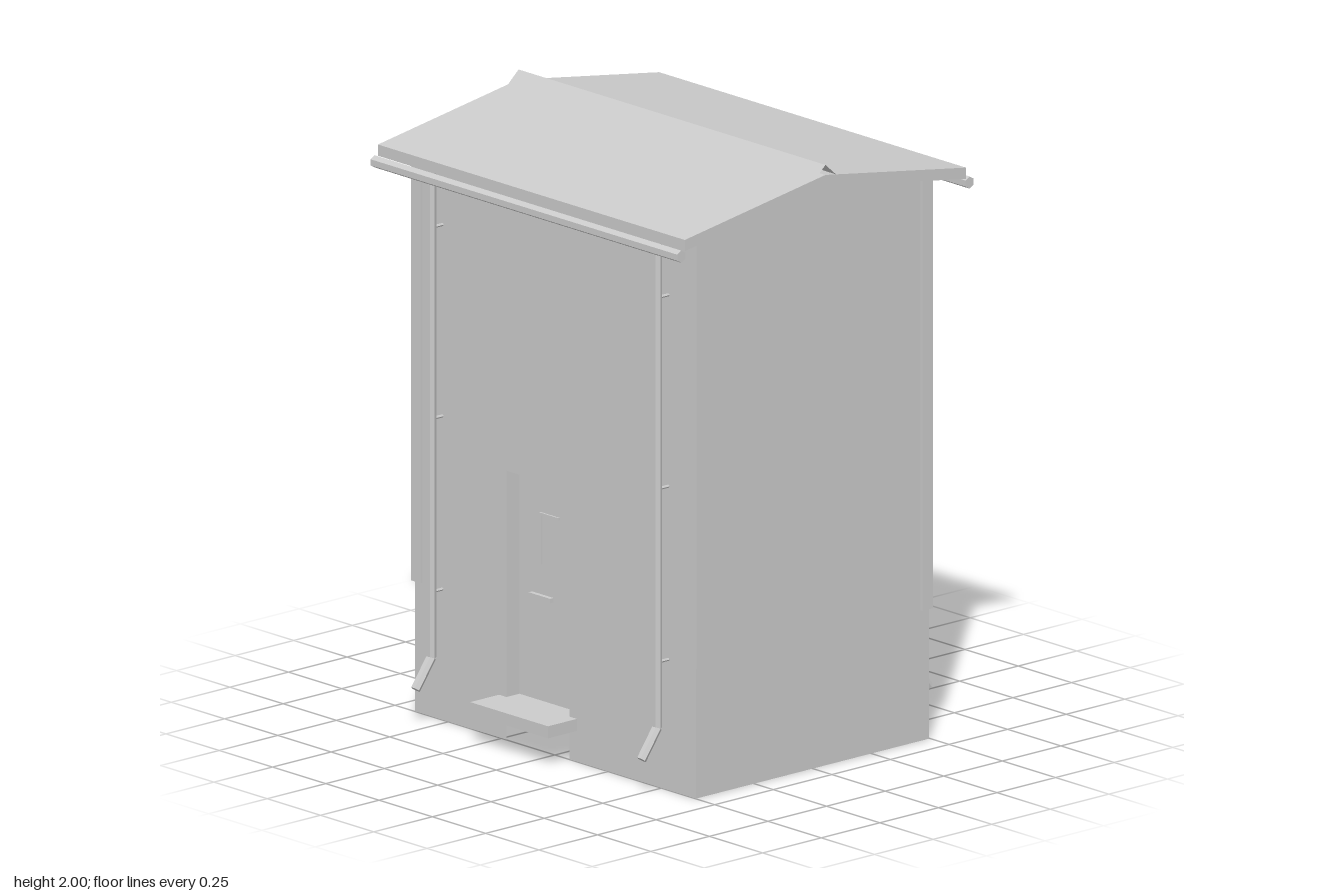
import * as THREE from 'three';

const mat = new THREE.MeshStandardMaterial({ color: 0xcccccc, flatShading: true, side: THREE.DoubleSide });

function add(parent, name, geometry) {
  const mesh = new THREE.Mesh(geometry, mat);
  mesh.name = name;
  parent.add(mesh);
  return mesh;
}

// Box given by its limits on each axis
function block(parent, name, x0, x1, y0, y1, z0, z1) {
  const m = add(parent, name, new THREE.BoxGeometry(x1 - x0, y1 - y0, z1 - z0));
  m.position.set((x0 + x1) / 2, (y0 + y1) / 2, (z0 + z1) / 2);
  return m;
}

// Six-sided rod between two points
function rod(parent, name, a, b, r) {
  const from = new THREE.Vector3(...a), to = new THREE.Vector3(...b);
  const dir = to.clone().sub(from);
  const m = add(parent, name, new THREE.CylinderGeometry(r, r, dir.length(), 6));
  m.position.copy(from).add(to).multiplyScalar(0.5);
  m.quaternion.setFromUnitVectors(new THREE.Vector3(0, 1, 0), dir.normalize());
  return m;
}

const polygon = (pts) => new THREE.Shape(pts.map((p) => new THREE.Vector2(...p)));
const W = 0.497, D = 0.66, EAVE = 1.85, PEAK = 1.93;

export function createModel() {
  const model = new THREE.Group();
  model.name = 'brickHouse';

  // Gable walls
  const gable = polygon([[-W, 0], [W, 0], [W, EAVE], [0, PEAK], [-W, EAVE]]);
  add(model, 'frontWall', new THREE.ShapeGeometry(gable)).position.z = D;
  const backWall = add(model, 'backWall', new THREE.ShapeGeometry(gable));
  backWall.position.z = -D;
  backWall.rotation.y = Math.PI;

  // Side wall with the window opening (shape x runs along -z)
  const win = { z: 0.315, y0: 0.485, y1: 1.285 };
  const windowWall = polygon([[-D, 0], [D, 0], [D, EAVE], [-D, EAVE]]);
  windowWall.holes.push(polygon([[-win.z, win.y0], [-win.z, win.y1], [win.z, win.y1], [win.z, win.y0]]));
  const left = add(model, 'windowWall', new THREE.ShapeGeometry(windowWall));
  left.rotation.y = Math.PI / 2;
  left.position.x = W;

  // Side wall with the doorway notched to the ground (shape x runs along +z)
  const door = { z0: -0.23, z1: 0.065, y0: 0.1, y1: 0.885 };
  const doorWall = polygon([[-D, 0], [door.z0, 0], [door.z0, door.y1], [door.z1, door.y1],
    [door.z1, 0], [D, 0], [D, EAVE], [-D, EAVE]]);
  const right = add(model, 'doorWall', new THREE.ShapeGeometry(doorWall));
  right.rotation.y = -Math.PI / 2;
  right.position.x = -W;

  // Roof slab and open ridge cap
  const roof = polygon([[-0.6, 1.835], [0, PEAK], [0.6, 1.835], [0.6, 1.872], [0, 1.967], [-0.6, 1.872]]);
  add(model, 'roof', new THREE.ExtrudeGeometry(roof, { depth: 1.44, bevelEnabled: false })).position.z = -0.72;
  for (const s of [-1, 1]) {
    const cap = add(model, 'ridgeCap', new THREE.PlaneGeometry(Math.hypot(0.045, 0.04), 1.44));
    cap.geometry.rotateX(-Math.PI / 2);
    cap.rotation.z = -s * Math.atan2(0.04, 0.045);
    cap.position.set(s * 0.0225, 1.98, 0);
  }

  // Gutters, downpipes, brackets and corner boards, mirrored
  for (const sx of [-1, 1]) {
    rod(model, 'gutter', [sx * 0.615, 1.82, -0.72], [sx * 0.615, 1.82, 0.72], 0.02);
    for (const sz of [-1, 1]) {
      const z = sz * 0.53;
      rod(model, 'downpipe', [sx * 0.545, 0.215, z], [sx * 0.545, 1.85, z], 0.016);
      rod(model, 'downpipeSpout', [sx * 0.545, 0.215, z], [sx * 0.612, 0.122, z], 0.016);
      for (const y of [0.43, 1.0, 1.63]) rod(model, 'pipeBracket', [sx * W, y, z], [sx * 0.54, y, z], 0.005);
      const board = new THREE.Group();
      board.name = 'cornerBoard';
      board.scale.set(sx, 1, sz);
      block(board, 'cornerBoardSide', W - 0.005, 0.505, 0.43, EAVE, 0.625, 0.67);
      block(board, 'cornerBoardFace', 0.46, 0.505, 0.43, EAVE, D - 0.005, 0.67);
      model.add(board);
    }
  }

  // Window: reveal, frame, glazing bars, pane, lintel and sill
  const window = new THREE.Group();
  window.name = 'window';
  model.add(window);
  const inX = W - 0.055;
  for (const s of [-1, 1]) {
    const a = s * win.z, b = s * (win.z + 0.004), c = s * 0.302;
    block(window, 'windowReveal', inX, W - 0.001, win.y0, win.y1, Math.min(a, b), Math.max(a, b));
    block(window, 'windowFrameSide', inX, inX + 0.012, win.y0, win.y1, Math.min(a, c), Math.max(a, c));
  }
  block(window, 'windowRevealTop', inX, W - 0.001, win.y1, win.y1 + 0.004, -win.z, win.z);
  block(window, 'windowFrameTop', inX, inX + 0.012, 1.27, win.y1, -win.z, win.z);
  block(window, 'windowFrameBottom', inX, inX + 0.012, win.y0, 0.498, -win.z, win.z);
  block(window, 'windowPane', inX - 0.004, inX, win.y0, win.y1, -win.z, win.z);
  for (let i = 1; i < 5; i++) {
    const z = -0.302 + i * 0.1208;
    block(window, 'verticalBar', inX, inX + 0.01, 0.498, 1.27, z - 0.005, z + 0.005);
  }
  for (let i = 1; i < 6; i++) {
    const y = 0.498 + i * 0.1287;
    block(window, 'horizontalBar', inX, inX + 0.01, y - 0.005, y + 0.005, -0.302, 0.302);
  }
  block(window, 'lintel', W - 0.01, W + 0.007, 1.285, 1.355, -0.353, 0.353);
  block(window, 'sill', inX, W + 0.016, 0.46, win.y0, -0.333, 0.333);

  // Door: reveal, leaf, panel trim, handle and step
  const doorway = new THREE.Group();
  doorway.name = 'doorway';
  model.add(doorway);
  const dx = -W + 0.055;
  block(doorway, 'doorReveal', -W + 0.001, dx, door.y0, door.y1, door.z0 - 0.004, door.z0);
  block(doorway, 'doorReveal', -W + 0.001, dx, door.y0, door.y1, door.z1, door.z1 + 0.004);
  block(doorway, 'doorRevealTop', -W + 0.001, dx, door.y1, door.y1 + 0.004, door.z0, door.z1);
  block(doorway, 'doorLeaf', dx, dx + 0.02, door.y0, door.y1, door.z0, door.z1);
  block(doorway, 'doorPanelTrim', dx - 0.006, dx, 0.59, 0.76, -0.13, -0.122);
  block(doorway, 'doorPanelTrim', dx - 0.006, dx, 0.752, 0.76, -0.13, -0.04);
  block(doorway, 'doorHandle', dx - 0.015, dx, 0.475, 0.49, -0.17, -0.07);
  block(doorway, 'doorStep', -0.62, dx, 0.1, 0.14, -0.265, 0.1);

  return model;
}
